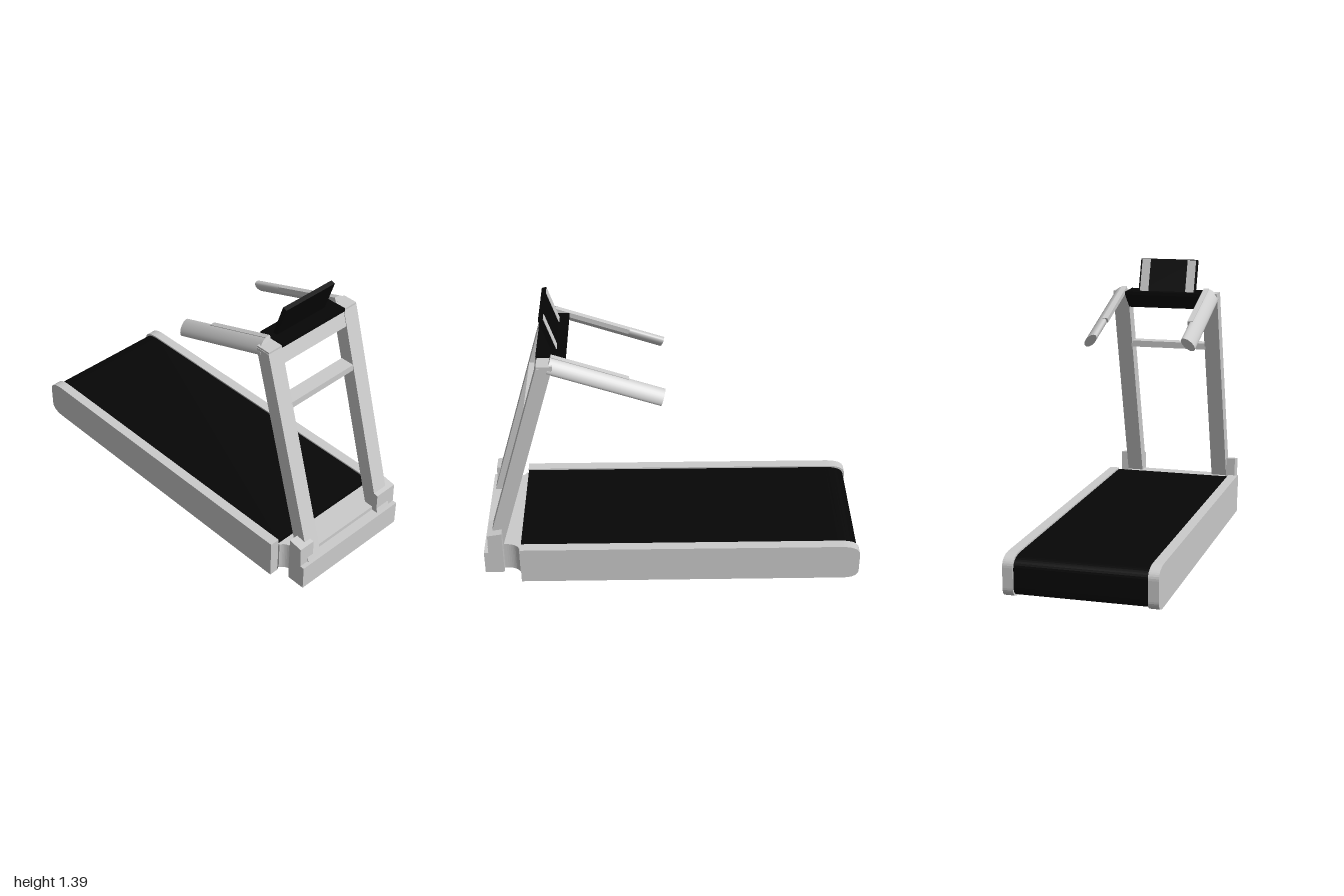
import * as THREE from 'three';

const grey = new THREE.MeshStandardMaterial({ color: 0xcccccc });
const black = new THREE.MeshStandardMaterial({ color: 0x060606 });

function add(parent, name, geometry, material = grey) {
  const mesh = new THREE.Mesh(geometry, material);
  mesh.name = name;
  parent.add(mesh);
  return mesh;
}

// Box given by its limits along length (x), height (y) and width (z)
function block(parent, name, [x0, x1], [y0, y1], [z0, z1], material) {
  const mesh = add(parent, name, new THREE.BoxGeometry(x1 - x0, y1 - y0, z1 - z0), material);
  mesh.position.set((x0 + x1) / 2, (y0 + y1) / 2, (z0 + z1) / 2);
  return mesh;
}

// Side profile extruded across the width from z0 to z1
function extrude(parent, name, shape, z0, z1, material) {
  const geometry = new THREE.ExtrudeGeometry(shape, { depth: z1 - z0, bevelEnabled: false, curveSegments: 10 });
  geometry.translate(0, 0, z0);
  return add(parent, name, geometry, material);
}

// Deck outline with a rounded foot end; the underside rises to yUnder past xStep
function deckShape(x0, x1, y0, y1, xStep, yUnder) {
  const s = new THREE.Shape();
  s.moveTo(x1, yUnder);
  s.lineTo(x1, y1);
  s.lineTo(x0 + 0.1, y1);
  s.quadraticCurveTo(x0, y1, x0, y1 - 0.055);
  s.lineTo(x0, y0 + 0.05);
  s.quadraticCurveTo(x0, y0, x0 + 0.08, y0);
  s.lineTo(xStep, y0);
  s.lineTo(xStep, yUnder);
  return s;
}

function polygon(points) {
  return new THREE.Shape(points.map(([x, y]) => new THREE.Vector2(x, y)));
}

// Plan of the motor housing, flaring to the deck width with concave sides
function housingPlan() {
  const s = new THREE.Shape();
  s.moveTo(0.74, -0.315);
  s.lineTo(0.775, -0.315);
  s.quadraticCurveTo(0.79, -0.28, 0.85, -0.28);
  s.lineTo(0.9, -0.28);
  s.lineTo(0.9, 0.28);
  s.lineTo(0.85, 0.28);
  s.quadraticCurveTo(0.79, 0.28, 0.775, 0.315);
  s.lineTo(0.74, 0.315);
  return s;
}

// Extrusion limits for the part on one side
function span(side, inner, outer) {
  return side > 0 ? [inner, outer] : [-outer, -inner];
}

export function createModel() {
  const model = new THREE.Group();
  model.name = 'treadmill';
  const body = new THREE.Group();
  body.name = 'treadmillBody';
  body.rotation.y = -0.376;
  body.position.set(-0.003, 0, 0.007);
  model.add(body);

  // Running deck, hollow underneath
  extrude(body, 'runningBelt', deckShape(-0.92, 0.765, 0.005, 0.192, -0.8, 0.095), -0.315, 0.315, black);
  block(body, 'footInnerWall', [-0.802, -0.797], [0.006, 0.096], [-0.3, 0.3]);

  // Motor housing and front cross beam
  const housing = extrude(body, 'motorHousing', housingPlan(), 0, 0.153);
  housing.rotation.x = Math.PI / 2;
  housing.position.y = 0.175;
  block(body, 'housingUnderside', [0.76, 0.89], [0.019, 0.023], [-0.279, 0.279], black);
  block(body, 'frontBeam', [0.86, 0.95], [0.028, 0.155], [-0.322, 0.33]);

  for (const side of [-1, 1]) {
    // Side rail of the deck with a dark inner wall
    extrude(body, 'sideRail', deckShape(-0.928, 0.767, 0, 0.2, 0.76, 0), ...span(side, 0.313, 0.363));
    block(body, 'innerWall', [-0.8, 0.765], [0.001, 0.1], span(side, 0.308, 0.314), black);

    // Leaning upright and its base socket, wrapped around the post on one side
    const post = polygon([[0.86, 0.15], [0.936, 0.15], [0.635, 1.213], [0.56, 1.213]]);
    extrude(body, 'upright', post, ...span(side, 0.2, 0.282));
    const socket = polygon([[0.855, 0.03], [0.93, 0.03], [0.926, 0.26], [0.855, 0.272]]);
    extrude(body, 'uprightSocket', socket, ...span(side, side > 0 ? 0.245 : 0.2, side > 0 ? 0.33 : 0.322));
    block(body, 'uprightCap', [0.56, 0.635], [1.2, 1.222], span(side, 0.2, 0.28));

    // Sloping oval handrail, rolled outwards, with an inner grip strip
    const rail = new THREE.Group();
    rail.name = 'handrail';
    rail.position.set(0.05, 1.03, side * 0.25);
    rail.rotation.z = Math.atan(0.345);
    body.add(rail);
    const tube = new THREE.CylinderGeometry(1, 1, 0.56, 24);
    tube.scale(0.043, 1, 0.022);
    tube.rotateZ(-Math.PI / 2);
    tube.rotateX(-side * Math.PI / 4);
    tube.translate(0.28, 0, 0);
    add(rail, 'handrailTube', tube);
    block(rail, 'gripStrip', [0.18, 0.56], [0.012, 0.036], span(side, -0.042, -0.014));
  }

  // Cross bars between the uprights
  block(body, 'lowerCrossBar', [0.64, 0.712], [0.912, 0.945], [-0.205, 0.205]);
  const panel = polygon([[0.59, 1.135], [0.654, 1.135], [0.632, 1.212], [0.57, 1.212]]);
  extrude(body, 'upperCrossBar', panel, -0.205, 0.205);

  // Console tray and display
  const tray = polygon([[0.583, 1.135], [0.595, 1.135], [0.595, 1.21], [0.64, 1.213],
    [0.64, 1.23], [0.5, 1.226], [0.5, 1.21]]);
  extrude(body, 'consoleTray', tray, -0.2, 0.2, black);
  const display = new THREE.Group();
  display.name = 'display';
  display.position.set(0.556, 1.218, 0.014);
  display.rotation.z = -0.32;
  body.add(display);
  block(display, 'displayPanel', [-0.011, 0.011], [0, 0.18], [-0.153, 0.153], black);
  for (const side of [-1, 1]) {
    block(display, 'displayTrim', [-0.014, -0.009], [0.004, 0.176], span(side, 0.1, 0.145));
  }
  return model;
}
